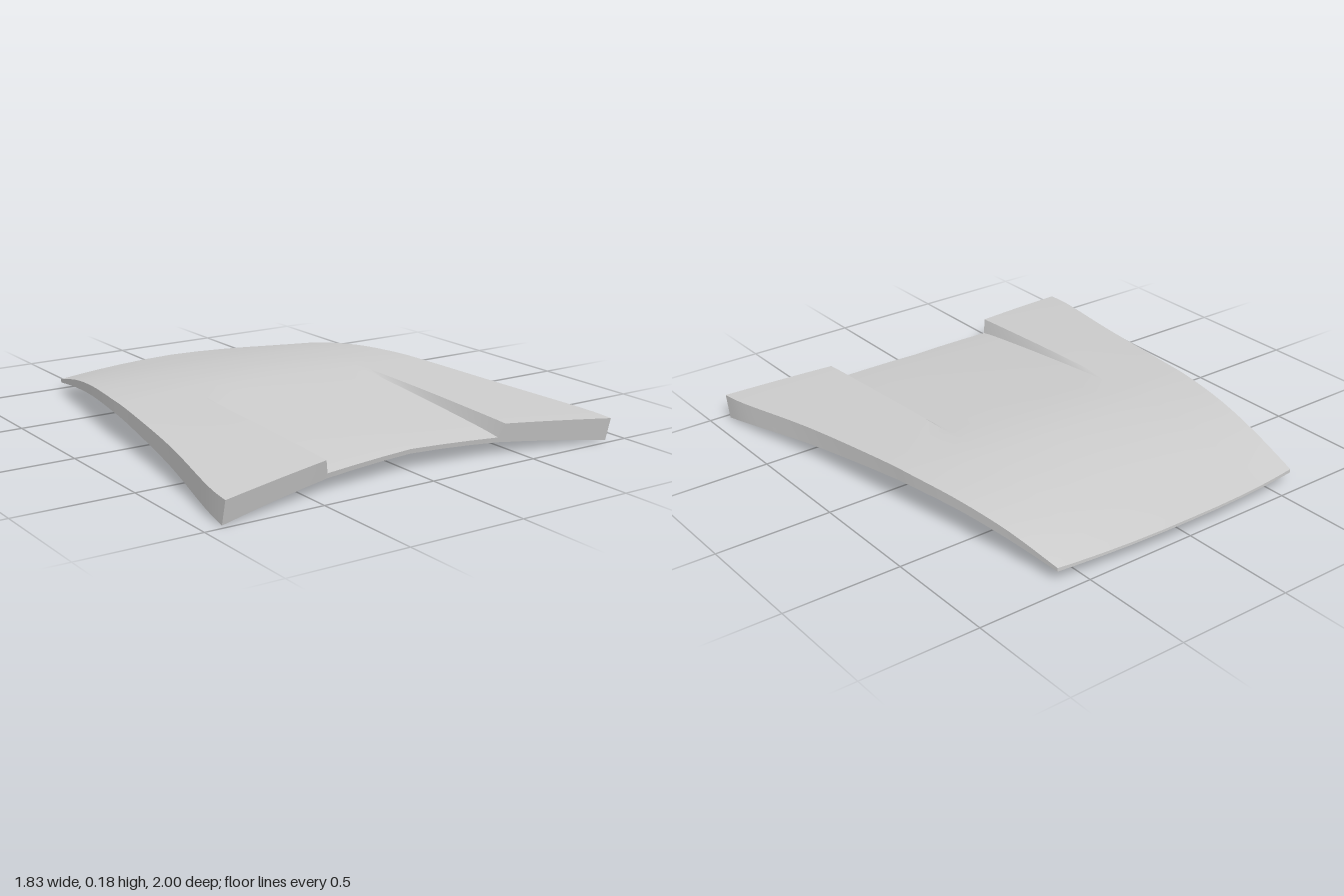
import * as THREE from 'three';
import { toCreasedNormals } from 'three/addons/utils/BufferGeometryUtils.js';

const ROWS = 28;

// Smooth curve through stations running from the back edge to the front edge
function stations(values) {
  const curve = new THREE.SplineCurve(values.map((v, i) => new THREE.Vector2(i, v)));
  return (s) => curve.getPoint(s).y;
}

const along = stations([0, 0.124, 0.253, 0.381, 0.485, 0.716, 0.923, 1]);
const halfWidth = stations([0.605, 0.645, 0.69, 0.73, 0.755, 0.82, 0.9, 0.915]);
const edgeTop = stations([0.06, 0.115, 0.148, 0.158, 0.155, 0.135, 0.11, 0.1]);
const edgeBottom = stations([0.045, 0.08, 0.105, 0.108, 0.097, 0.06, 0.022, 0]);
const centreTop = stations([0.08, 0.12, 0.157, 0.178, 0.18, 0.172, 0.157, 0.15]);
const centreBottom = stations([0.068, 0.1, 0.135, 0.153, 0.153, 0.125, 0.085, 0.07]);
const recessDepth = stations([0, 0, 0, 0, 0, 0.025, 0.048, 0.06]);

// One closed cross-section: top from right to left side, then the underside back again
function section(s) {
  const v = along(s), w = halfWidth(s);
  const inner = 0.4 + 0.01 * v, outer = 0.413 + 0.016 * v;
  const half = [0, 0.14, 0.28, inner, outer];
  for (let k = 1; k <= 5; k++) half.push(THREE.MathUtils.lerp(outer, w, k / 5));
  const top = [], bottom = [];
  for (let j = 1 - half.length; j < half.length; j++) {
    const k = Math.abs(j), x = half[k], t = x / w;
    const recessed = k <= 3;
    const front = recessed ? 0.86 + 0.03 * x / inner : 0.91 + 0.09 * (x - outer) / (w - outer);
    const z = THREE.MathUtils.lerp(-1 + 0.06 * t * t, front, v);
    const drop = recessed ? Math.max(0, recessDepth(s)) : 0;
    const yTop = THREE.MathUtils.lerp(centreTop(s), edgeTop(s), t ** 1.5) - drop;
    const yBottom = THREE.MathUtils.lerp(centreBottom(s), edgeBottom(s), t ** 1.8);
    const lean = 0.25 * v * (yTop - yBottom);
    top.push([Math.sign(j) * x, yTop, z]);
    bottom.unshift([Math.sign(j) * x, yBottom, z - lean]);
  }
  return [...top, ...bottom];
}

// Skin the cross-sections and close the front and back edges
function panelGeometry() {
  const positions = [], index = [];
  let n = 0;
  for (let i = 0; i <= ROWS; i++) {
    const ring = section(i / ROWS);
    n = ring.length;
    positions.push(...ring.flat());
  }
  for (let i = 0; i < ROWS; i++) {
    for (let j = 0; j < n; j++) {
      const a = i * n + j, b = i * n + (j + 1) % n;
      index.push(a, a + n, b, b, a + n, b + n);
    }
  }
  const last = ROWS * n;
  for (let j = 0; j < n / 2 - 1; j++) {
    const tl = j, tr = j + 1, bl = n - 1 - j, br = n - 2 - j;
    index.push(tl, tr, bl, tr, br, bl);
    index.push(last + tl, last + bl, last + tr, last + tr, last + bl, last + br);
  }
  const geometry = new THREE.BufferGeometry();
  geometry.setAttribute('position', new THREE.Float32BufferAttribute(positions, 3));
  geometry.setIndex(index);
  return toCreasedNormals(geometry, 0.45);
}

export function createModel() {
  const paint = new THREE.MeshStandardMaterial({ color: 0xcccccc });
  paint.name = 'light grey paint';
  const panel = new THREE.Mesh(panelGeometry(), paint);
  panel.name = 'hoodPanel';
  const group = new THREE.Group();
  group.name = 'carHood';
  group.add(panel);
  return group;
}
